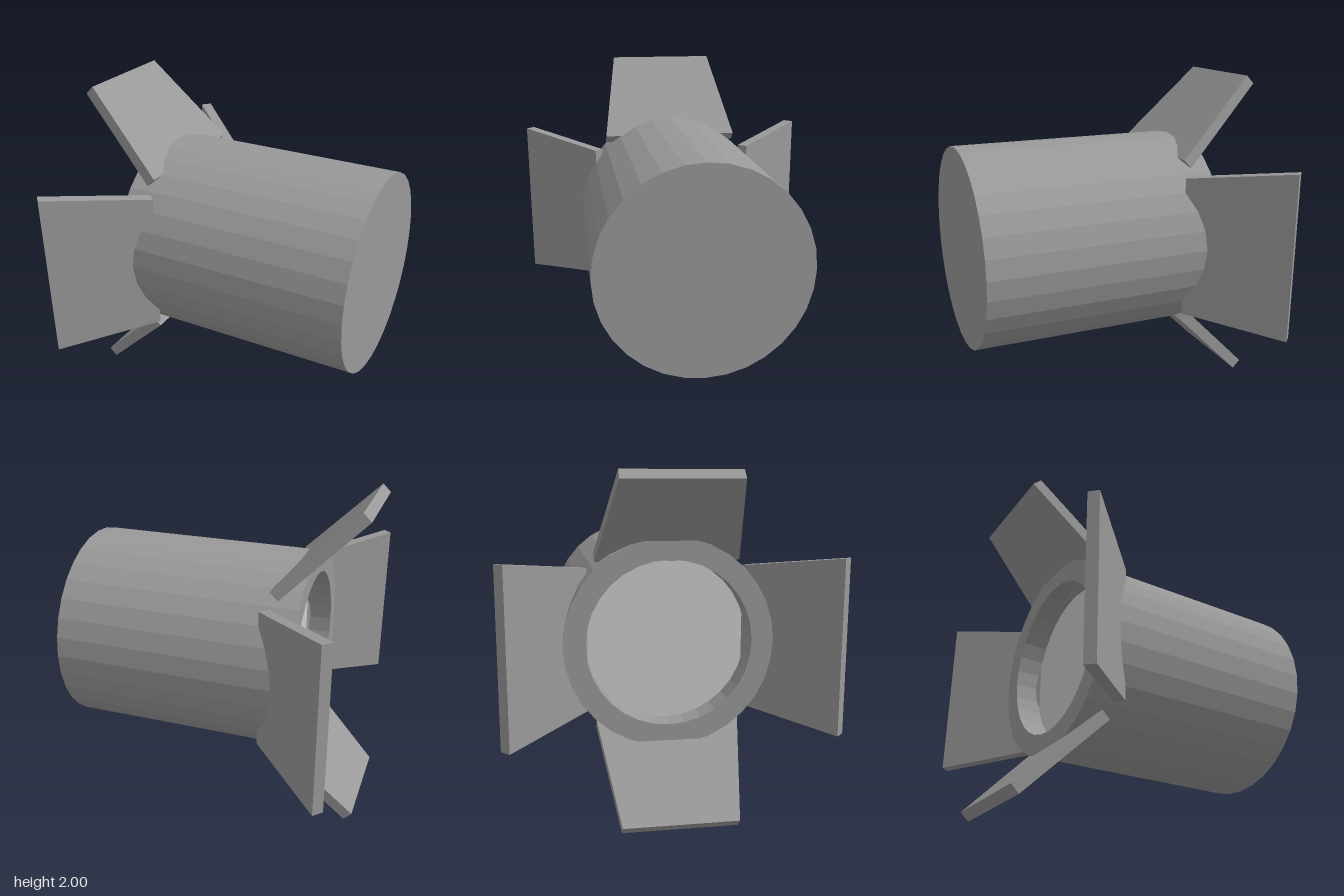
import * as THREE from 'three';

const AXIS_Y = 1.005;
const SIDES = 32;
const bodyMaterial = new THREE.MeshStandardMaterial({ color: 0x999999, flatShading: true });
const lensMaterial = new THREE.MeshStandardMaterial({ color: 0xd4d4d4, flatShading: true });

// Tapered plate: inner edge at -x, outer edge at +x
function plate(length, thickness, innerHalf, outerHalf) {
  const geo = new THREE.BoxGeometry(length, thickness, 2);
  const p = geo.attributes.position;
  for (let i = 0; i < p.count; i++) {
    p.setZ(i, p.getZ(i) * (p.getX(i) < 0 ? innerHalf : outerHalf));
  }
  geo.computeVertexNormals();
  return geo;
}

// Barn door leaning out at 45 degrees, turned around the lamp axis
function barnDoor(name, { turn, x, radius, length, outerHalf, shift }) {
  const hinge = new THREE.Group();
  hinge.name = name;
  hinge.rotation.x = turn;
  const mesh = new THREE.Mesh(plate(length, 0.069, 0.432, outerHalf), bodyMaterial);
  mesh.name = name + 'Panel';
  mesh.position.set(x, radius, shift);
  mesh.rotation.z = Math.PI * 0.75;
  hinge.add(mesh);
  return hinge;
}

export function createModel() {
  const lamp = new THREE.Group();
  lamp.name = 'stageLight';
  lamp.position.y = AXIS_Y;

  // Housing: closed at +x, recessed rim at -x
  const profile = [[0.49, -0.39], [0.49, -0.55], [0.62, -0.55], [0.62, 0.917], [0, 0.917]]
    .map(([r, h]) => new THREE.Vector2(r, h));
  const housing = new THREE.Mesh(new THREE.LatheGeometry(profile, SIDES), bodyMaterial);
  housing.name = 'housing';
  housing.rotation.z = -Math.PI / 2;
  lamp.add(housing);

  // Paler flat lens at the bottom of the recess
  const lens = new THREE.Mesh(new THREE.CircleGeometry(0.49, SIDES), lensMaterial);
  lens.name = 'lens';
  lens.rotation.y = -Math.PI / 2;
  lens.position.x = -0.39;
  lamp.add(lens);

  // Narrowing doors above and below, widening doors front and back
  const upright = { length: 0.672, outerHalf: 0.334 };
  const side = { length: 0.652, outerHalf: 0.513, x: -0.594, radius: 0.721, shift: 0 };
  lamp.add(
    barnDoor('topDoor', { ...upright, turn: 0, x: -0.637, radius: 0.733, shift: 0.007 }),
    barnDoor('bottomDoor', { ...upright, turn: Math.PI, x: -0.656, radius: 0.743, shift: -0.007 }),
    barnDoor('frontDoor', { ...side, turn: Math.PI / 2 }),
    barnDoor('backDoor', { ...side, turn: -Math.PI / 2 })
  );

  const model = new THREE.Group();
  model.name = 'model';
  model.add(lamp);
  return model;
}
